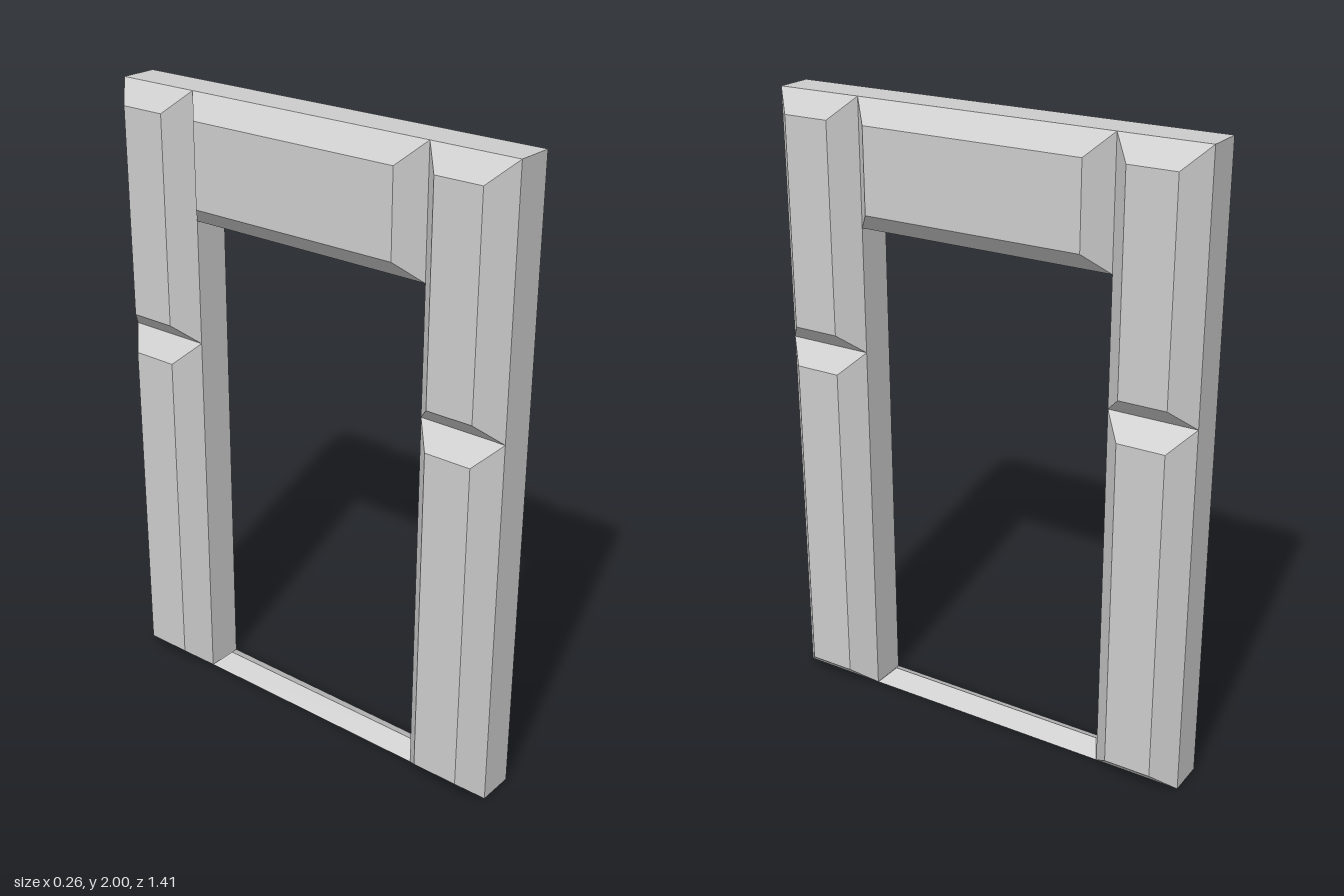
import * as THREE from 'three';

const CORE = 0.06;    // half thickness of the frame core
const RAISE = 0.07;   // how far the raised blocks stand out
const INSET = 0.065;  // bevel inset of the raised blocks
const OUT = 0.705, IN = 0.423, TOP = 2, LINTEL = 1.605, SPLIT = 1.205;

const material = new THREE.MeshStandardMaterial({ color: 0xcccccc, flatShading: true });
const openMaterial = material.clone();
openMaterial.side = THREE.DoubleSide;

// Bevelled block on the +x side of the core: a box whose outer face is shrunk
function bevelBlock(z0, z1, y0, y1) {
  const w = z1 - z0, h = y1 - y0;
  const geo = new THREE.BoxGeometry(RAISE, h, w);
  const p = geo.attributes.position;
  for (let i = 0; i < p.count; i++) {
    if (p.getX(i) < 0) continue;
    p.setY(i, Math.sign(p.getY(i)) * (h / 2 - INSET));
    p.setZ(i, Math.sign(p.getZ(i)) * (w / 2 - INSET));
  }
  geo.translate(CORE + RAISE / 2, (y0 + y1) / 2, (z0 + z1) / 2);
  geo.computeVertexNormals();
  return geo;
}

// Low hipped threshold, open underneath
function sillGeometry() {
  const ridge = 0.035, end = IN - 0.035;
  const a = [CORE, 0, IN], b = [CORE, 0, -IN], c = [-CORE, 0, -IN], d = [-CORE, 0, IN];
  const r = [0, ridge, end], s = [0, ridge, -end];
  const faces = [a, b, s, a, s, r, c, d, r, c, r, s, d, a, r, b, c, s];
  const geo = new THREE.BufferGeometry();
  geo.setAttribute('position', new THREE.Float32BufferAttribute(faces.flat(), 3));
  geo.computeVertexNormals();
  return geo;
}

export function createModel() {
  const group = new THREE.Group();
  group.name = 'doorFrame';
  const add = (parent, name, geo, mat = material) => {
    const mesh = new THREE.Mesh(geo, mat);
    mesh.name = name;
    parent.add(mesh);
  };

  // Doorway-shaped core
  const outline = new THREE.Shape([
    [-OUT, 0], [-IN, 0], [-IN, LINTEL], [IN, LINTEL],
    [IN, 0], [OUT, 0], [OUT, TOP], [-OUT, TOP],
  ].map(([u, v]) => new THREE.Vector2(u, v)));
  const core = new THREE.ExtrudeGeometry(outline, { depth: 2 * CORE, bevelEnabled: false });
  core.translate(0, 0, -CORE).rotateY(Math.PI / 2);
  add(group, 'frameCore', core);

  // Raised blocks, repeated on both faces of the frame
  for (const [name, turn] of [['leftBlocks', 0], ['rightBlocks', Math.PI]]) {
    const side = new THREE.Group();
    side.name = name;
    side.rotation.y = turn;
    for (const [z0, z1] of [[IN, OUT], [-OUT, -IN]]) {
      add(side, 'lowerPostBlock', bevelBlock(z0, z1, 0, SPLIT));
      add(side, 'upperPostBlock', bevelBlock(z0, z1, SPLIT, TOP));
    }
    add(side, 'lintelBlock', bevelBlock(-IN, IN, LINTEL, TOP));
    group.add(side);
  }

  add(group, 'sill', sillGeometry(), openMaterial);
  return group;
}
